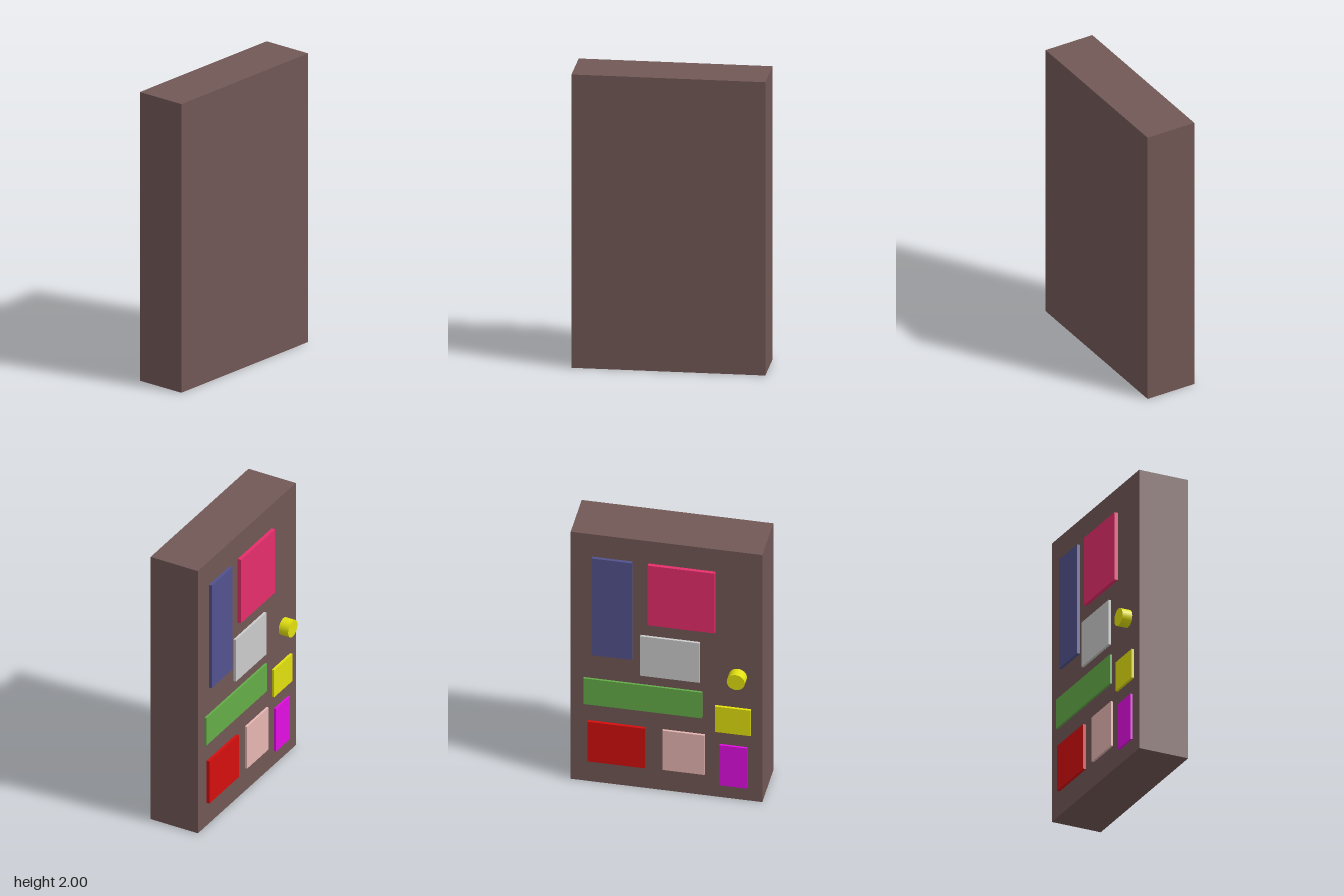
import * as THREE from 'three';

const BACK = -0.143, FRONT = 0.213;

function paint(color) {
  return new THREE.MeshStandardMaterial({ color });
}

// Box given by its limits on each axis
function slab(name, color, [x0, x1], [y0, y1], [z0, z1]) {
  const mesh = new THREE.Mesh(new THREE.BoxGeometry(x1 - x0, y1 - y0, z1 - z0), paint(color));
  mesh.position.set((x0 + x1) / 2, (y0 + y1) / 2, (z0 + z1) / 2);
  mesh.name = name;
  return mesh;
}

export function createModel() {
  const model = new THREE.Group();
  model.name = 'doorWithPanels';

  // Solid door slab
  model.add(slab('door', 0x725856, [-0.637, 0.637], [0, 2], [BACK, FRONT]));

  // Thin raised panels on the back: name, colour, x range, y range, outer z
  const panels = [
    ['bluePanel', 0x52528f, [0.226, 0.493], [1.037, 1.82], -0.164],
    ['crimsonPanel', 0xe62e6c, [-0.325, 0.12], [1.337, 1.82], -0.168],
    ['greyPanel', 0xcccccc, [-0.224, 0.172], [0.916, 1.235], -0.16],
    ['greenPanel', 0x64ac48, [-0.238, 0.55], [0.629, 0.837], -0.158],
    ['redPanel', 0xd40e0e, [0.14, 0.522], [0.172, 0.493], -0.163],
    ['palePinkPanel', 0xe7b6b3, [-0.256, 0.024], [0.174, 0.493], -0.159],
    ['yellowPanel', 0xe2e00f, [-0.563, -0.325], [0.535, 0.741], -0.161],
    ['magentaPanel', 0xe20ee2, [-0.538, -0.354], [0.105, 0.43], -0.158],
  ];
  for (const [name, color, x, y, z] of panels) {
    model.add(slab(name, color, x, y, [z, BACK]));
  }

  // Round door knob
  const knobEnd = -0.214;
  const knob = new THREE.Mesh(
    new THREE.CylinderGeometry(0.06, 0.06, BACK - knobEnd, 32), paint(0xe2e00f));
  knob.rotation.x = Math.PI / 2;
  knob.position.set(-0.475, 0.995, (BACK + knobEnd) / 2);
  knob.name = 'knob';
  model.add(knob);

  return model;
}
